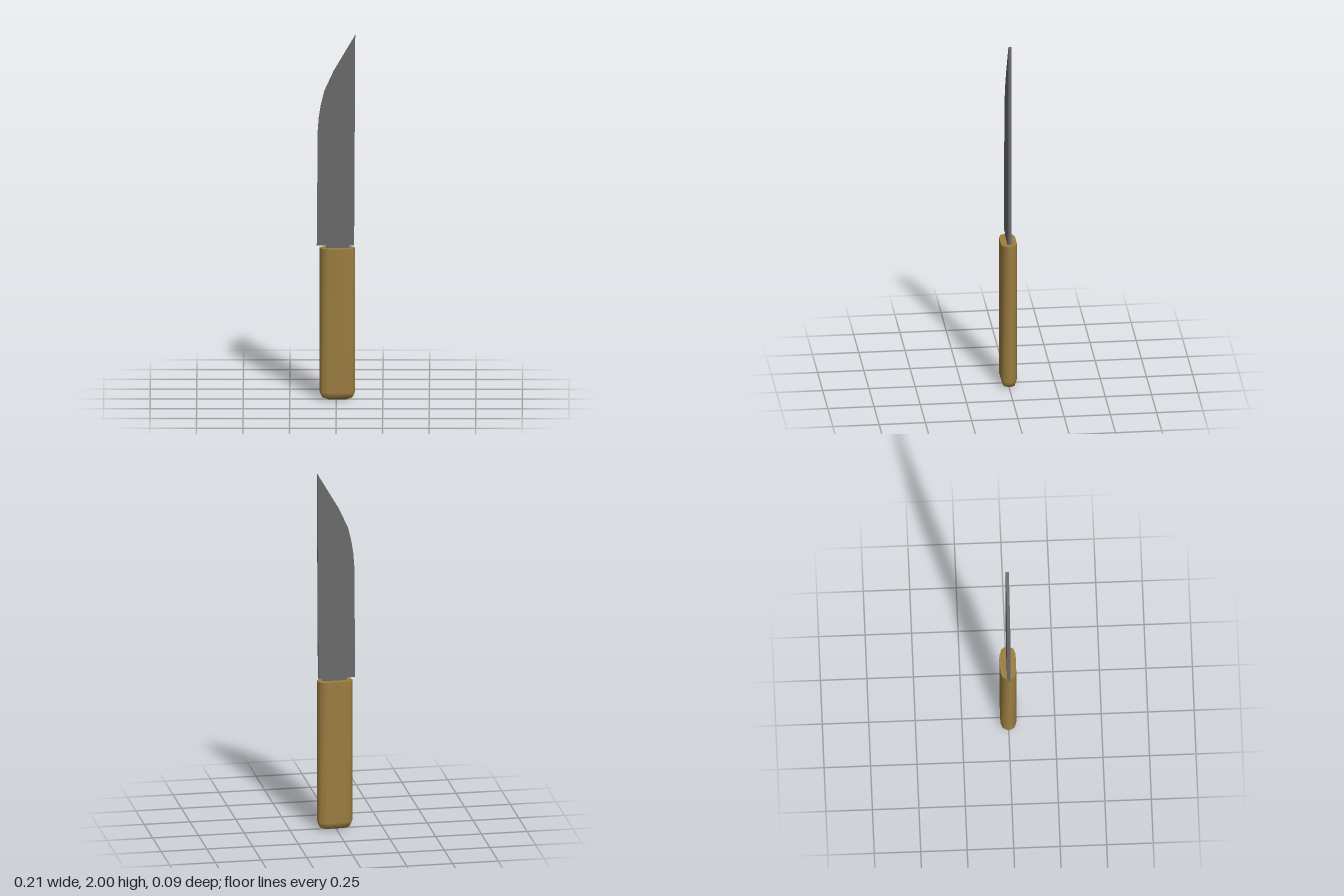
import * as THREE from 'three';
import { mergeVertices } from 'three/addons/utils/BufferGeometryUtils.js';

const steel = new THREE.MeshStandardMaterial({ color: 0x6a6a6a });
steel.name = 'steel';
const wood = new THREE.MeshStandardMaterial({ color: 0x9b7d40 });
wood.name = 'wood';

// Rounded-rectangle outline of the handle; s scales the rounding (0 = inner core)
function outline(s) {
  const pts = [];
  for (let q = 0; q < 4; q++) {
    const sx = q === 0 || q === 3 ? 1 : -1;
    const sz = q < 2 ? 1 : -1;
    for (let k = 0; k < 3; k++) {
      const a = (q + k / 2) * Math.PI / 2;
      pts.push([
        0.006 + sx * 0.049 + s * 0.046 * Math.cos(a),
        -0.001 + sz * 0.008 + s * 0.035 * Math.sin(a),
      ]);
    }
  }
  return pts;
}

// Grip walls with a rounded butt, lofted from the bottom up
function gripGeometry(top) {
  const rings = [[0, 0], [Math.SQRT1_2, 0.012], [1, 0.042], [1, top]];
  const n = 12, pos = [], index = [];
  for (const [s, y] of rings) for (const [x, z] of outline(s)) pos.push(x, y, z);
  const centre = pos.length / 3;
  pos.push(0.006, 0, -0.001);
  for (let i = 0; i < n; i++) {
    const j = (i + 1) % n;
    index.push(centre, i, j);
    for (let r = 0; r < rings.length - 1; r++) {
      const a = r * n + i, b = r * n + j;
      index.push(a, a + n, b, b, a + n, b + n);
    }
  }
  const g = new THREE.BufferGeometry();
  g.setAttribute('position', new THREE.Float32BufferAttribute(pos, 3));
  g.setIndex(index);
  const merged = mergeVertices(g);
  merged.computeVertexNormals();
  return merged;
}

// Flat plate centred in thickness
function plate(points, thickness) {
  const shape = new THREE.Shape(points.map(([x, y]) => new THREE.Vector2(x, y)));
  const g = new THREE.ExtrudeGeometry(shape, { depth: thickness, bevelEnabled: false });
  return g.translate(0, 0, -thickness / 2 - 0.001);
}

export function createModel() {
  const model = new THREE.Group();
  model.name = 'knife';
  const add = (name, geometry, material) => {
    const mesh = new THREE.Mesh(geometry, material);
    mesh.name = name;
    model.add(mesh);
    return mesh;
  };
  const handleTop = 0.832;

  // Handle walls, and a flat top with a crisp rim
  add('handle', gripGeometry(handleTop), wood);
  const rim = new THREE.Shape(outline(1).map(([x, z]) => new THREE.Vector2(x, -z)));
  const cap = new THREE.ShapeGeometry(rim).rotateX(-Math.PI / 2).translate(0, handleTop, 0);
  add('handleTop', cap, wood);

  // Blade: straight spine at +x, curved cutting edge sweeping up to the tip
  add('blade', plate([
    [-0.105, 0.846], [0.096, 0.846], [0.102, 2], [-0.015, 1.8],
    [-0.065, 1.69], [-0.083, 1.615], [-0.094, 1.55], [-0.1, 1.47],
  ], 0.017), steel);

  // Tang joining the blade to the handle
  add('tang', plate([[-0.058, 0.81], [0.072, 0.81], [0.072, 0.846], [-0.058, 0.846]], 0.017), steel);

  return model;
}
